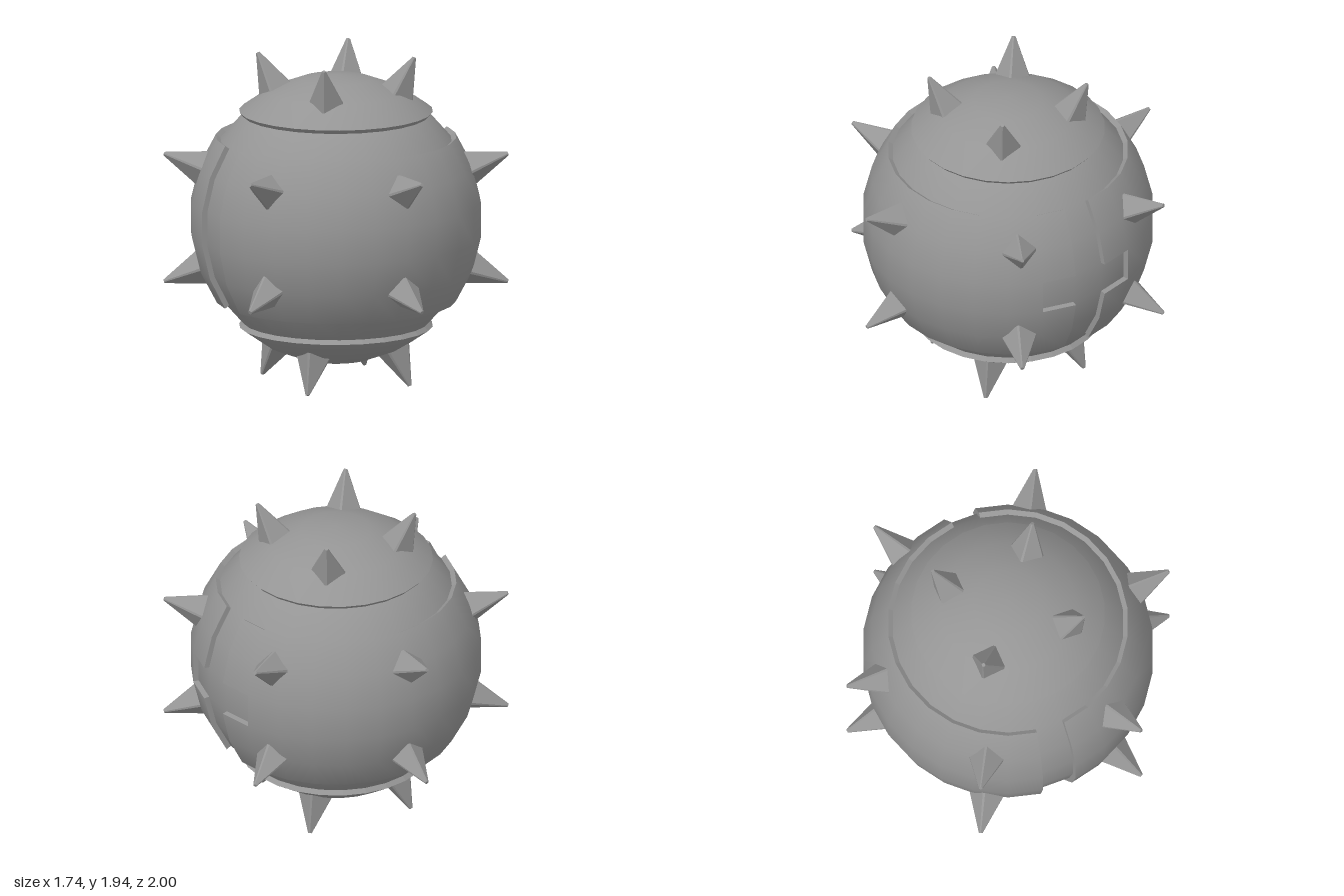
import * as THREE from 'three';
import { ConvexGeometry } from 'three/addons/geometries/ConvexGeometry.js';

const SEG = 26, ROWS = 13;        // facets around and from pole to pole
const CORE_R = 0.818, SHELL_R = 0.85, CENTER_Y = 0.967;
const metal = new THREE.MeshStandardMaterial({ color: 0x959595 });

// Point on a sphere grid; column 0 faces +z and columns run towards +x
function gridPoint(i, j, r) {
  return new THREE.Vector3().setFromSphericalCoords(r, j * Math.PI / ROWS, i * 2 * Math.PI / SEG);
}

// Thick shell made of the grid cells where has(i, j) is true, with walls on open edges
function shellGeometry(has) {
  const pos = [], nor = [];
  const filled = (i, j) => j < 0 || j >= ROWS || has((i + SEG) % SEG, j);
  function tri(points, smooth) {
    const [a, b, c] = points;
    const flat = b.clone().sub(a).cross(c.clone().sub(a));
    if (flat.length() < 1e-8) return;
    flat.normalize();
    for (const p of points) {
      pos.push(p.x, p.y, p.z);
      nor.push(...(smooth ? p.clone().normalize() : flat).toArray());
    }
  }
  function quad(a, b, c, d, smooth) {
    tri([a, b, c], smooth);
    tri([a, c, d], smooth);
  }
  for (let i = 0; i < SEG; i++) for (let j = 0; j < ROWS; j++) {
    if (!has(i, j)) continue;
    const corners = [[i, j], [i, j + 1], [i + 1, j + 1], [i + 1, j]];
    const outer = corners.map(([u, v]) => gridPoint(u, v, SHELL_R));
    const inner = corners.map(([u, v]) => gridPoint(u, v, CORE_R - 0.01));
    quad(...outer, true);
    [[i - 1, j], [i, j + 1], [i + 1, j], [i, j - 1]].forEach(([u, v], k) => {
      const n = (k + 1) % 4;
      if (!filled(u, v)) quad(outer[k], inner[k], inner[n], outer[n], false);
    });
  }
  const g = new THREE.BufferGeometry();
  g.setAttribute('position', new THREE.Float32BufferAttribute(pos, 3));
  g.setAttribute('normal', new THREE.Float32BufferAttribute(nor, 3));
  return g;
}

// Four-sided spike with narrow chamfered edges and a blunt tip, pointing along +z
function spikeGeometry() {
  const points = [];
  for (const [half, cut, z] of [[0.085, 0.011, 0.805], [0.01, 0.005, 1.068]]) {
    for (const sx of [-1, 1]) for (const sy of [-1, 1]) {
      points.push(new THREE.Vector3(sx * half, sy * (half - cut), z));
      points.push(new THREE.Vector3(sx * (half - cut), sy * half, z));
    }
  }
  return new ConvexGeometry(points);
}

export function createModel() {
  const model = new THREE.Group();
  const body = new THREE.Group();
  body.name = 'body';
  model.add(body);

  function add(name, geometry) {
    const mesh = new THREE.Mesh(geometry, metal);
    mesh.name = name;
    body.add(mesh);
    return mesh;
  }

  // Inner ball
  add('core', new THREE.SphereGeometry(CORE_R, SEG, ROWS).rotateY(Math.PI / 2));

  // Polar caps
  add('topCap', shellGeometry((i, j) => j < 3));
  add('bottomCap', shellGeometry((i, j) => j >= ROWS - 3));

  // Side plates, parted by a seam on each side and a cross-shaped notch on +x
  const inBand = (i, j) => j >= 4 && j <= 8 && !(j === 6 && (i === 5 || i === 7));
  add('frontPlate', shellGeometry((i, j) => inBand(i, j) && (i < 6 || i > 19)));
  add('backPlate', shellGeometry((i, j) => inBand(i, j) && i > 6 && i < 19));

  // Spikes, aimed outwards from the centre of the ball
  const spike = spikeGeometry();
  function addSpike(name, x, y, z, twist) {
    const mesh = add(name, spike);
    mesh.lookAt(x, y, z);
    mesh.rotateZ(Math.PI / 4 + twist);
  }
  for (let k = 0; k < 6; k++) {
    const a = k * Math.PI / 3;
    for (const s of [1, -1]) addSpike('sideSpike', Math.sin(a), s * 0.38, Math.cos(a), 0.1);
  }
  for (let k = 0; k < 4; k++) {
    const a = Math.atan2(0.36, 0.29) + k * Math.PI / 2;
    const x = 0.46 * Math.sin(a), z = 0.46 * Math.cos(a);
    addSpike('topSpike', x, 0.965, z, -0.06);
    addSpike('bottomSpike', -x, -0.965, z, -0.06);
  }

  // Lift the finished ball so the lowest spikes touch the ground
  body.position.y = CENTER_Y;
  return model;
}
